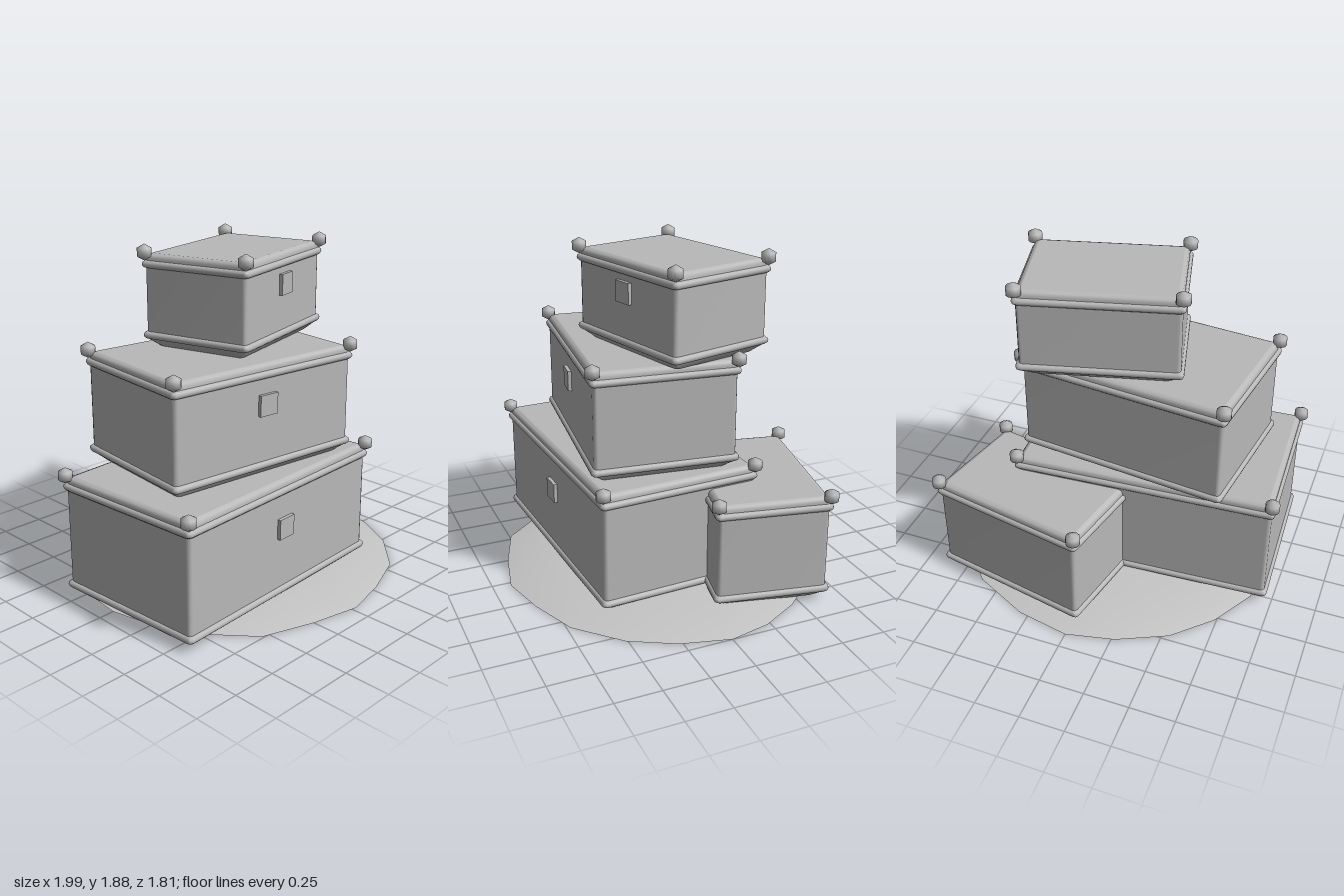
import * as THREE from 'three';

const boxGrey = new THREE.MeshStandardMaterial({ color: 0xb8b8b8 });
boxGrey.name = 'boxGrey';
const moundGrey = new THREE.MeshStandardMaterial({ color: 0xc4c4c4 });
moundGrey.name = 'moundGrey';

// Smooth skin over stacked rings of [x, y, z], optionally capped at both ends
function loft(rings, capped, centreTop = 0) {
  const n = rings[0].length, pos = rings.flat(2), idx = [];
  for (let j = 0; j < rings.length - 1; j++) {
    for (let i = 0; i < n; i++) {
      const k = (i + 1) % n, a = j * n + i, b = j * n + k;
      idx.push(a, a + n, b, b, a + n, b + n);
    }
  }
  if (capped) {
    const top = rings.length - 1;
    // Caps get their own vertices so the flat faces stay crisp
    [0, top].forEach((r) => {
      const base = pos.length / 3;
      pos.push(...rings[r].flat());
      const mid = rings[r].reduce((s, p) => [s[0] + p[0] / n, p[1], s[2] + p[2] / n], [0, 0, 0]);
      pos.push(mid[0], mid[1] + (r ? centreTop : 0), mid[2]);
      for (let i = 0; i < n; i++) {
        const a = base + i, b = base + (i + 1) % n, c = base + n;
        if (r) idx.push(a, c, b); else idx.push(a, b, c);
      }
    });
  }
  const g = new THREE.BufferGeometry();
  g.setAttribute('position', new THREE.Float32BufferAttribute(pos, 3));
  g.setIndex(idx);
  g.computeVertexNormals();
  return g;
}

// Rectangle with softened corners, grown by "out"
function rectRing(w, d, out, y, r = 0.022) {
  const ring = [];
  [[1, 1, 0], [-1, 1, 1], [-1, -1, 2], [1, -1, 3]].forEach(([sx, sz, q]) => {
    for (let k = 0; k < 3; k++) {
      const a = (q + k / 2) * Math.PI / 2;
      ring.push([
        sx * (w / 2 + out - r) + Math.cos(a) * r, y,
        sz * (d / 2 + out - r) + Math.sin(a) * r,
      ]);
    }
  });
  return ring;
}

function part(geometry, name, material = boxGrey) {
  const m = new THREE.Mesh(geometry, material);
  m.name = name;
  return m;
}

function makeBox({ name, w, d, h, x, y, z, turn, plateY }) {
  const g = new THREE.Group();
  g.name = name;
  const skin = (profile, capped) =>
    loft(profile.map(([out, py]) => rectRing(w, d, out, py)), capped);

  g.add(part(skin([[-0.05, 0], [0, 0.045], [0, 0.07], [0, h - 0.07], [0, h - 0.025],
    [-0.008, h - 0.008], [-0.028, h]], true), 'body'));

  // Rounded trim around the foot and under the lid
  [['footTrim', 0.065], ['lidTrim', h - 0.057]].forEach(([trim, cy]) => {
    const profile = [];
    for (let k = 0; k <= 6; k++) {
      const a = -Math.PI / 2 + (k / 6) * Math.PI;
      profile.push([Math.cos(a) * 0.02 - 0.003, cy + Math.sin(a) * 0.021]);
    }
    g.add(part(skin(profile, false), trim));
  });

  // Corner knobs
  const knob = new THREE.SphereGeometry(0.045, 12, 3);
  for (const sx of [-1, 1]) for (const sz of [-1, 1]) {
    const k = part(knob, 'cornerKnob');
    k.position.set(sx * w / 2, h + 0.006, sz * d / 2);
    g.add(k);
  }

  // Square front plate
  const plate = part(new THREE.BoxGeometry(0.115, 0.115, 0.04), 'frontPlate');
  plate.position.set(0, plateY - y, d / 2);
  g.add(plate);

  g.position.set(x, y, z);
  g.rotation.y = turn;
  return g;
}

export function createModel() {
  const model = new THREE.Group();
  model.name = 'stackedBoxes';

  // Low uneven mound
  const outline = [[1, 0], [0.93, 0.27], [0.8, 0.51], [0.57, 0.73], [0.3, 0.835], [0.03, 0.9],
    [-0.25, 0.84], [-0.54, 0.74], [-0.7, 0.55], [-0.85, 0.28], [-0.91, 0], [-0.88, -0.27],
    [-0.74, -0.52], [-0.54, -0.72], [-0.27, -0.85], [0, -0.91], [0.3, -0.85], [0.62, -0.69],
    [0.83, -0.45], [0.95, -0.23]];
  const rings = [[1, 0], [0.88, 0.025], [0.65, 0.05], [0.35, 0.06]]
    .map(([s, y]) => outline.map(([x, z]) => [x * s, y, z * s]));
  model.add(part(loft(rings, true, 0.003), 'mound', moundGrey));

  // Boxes, bottom to top
  [
    { name: 'largeBox', w: 1.46, d: 0.9, h: 0.695, x: -0.204, y: 0.01, z: 0.114, turn: 0.051, plateY: 0.44 },
    { name: 'sideBox', w: 0.903, d: 0.613, h: 0.61, x: 0.355, y: 0.01, z: -0.43, turn: -0.2, plateY: 0.4 },
    { name: 'middleBox', w: 1.18, d: 0.785, h: 0.615, x: -0.148, y: 0.702, z: 0.053, turn: -0.122, plateY: 1.1 },
    { name: 'topBox', w: 0.842, d: 0.615, h: 0.507, x: 0.076, y: 1.318, z: -0.058, turn: 0.25, plateY: 1.655 },
  ].forEach((b) => model.add(makeBox(b)));

  return model;
}
